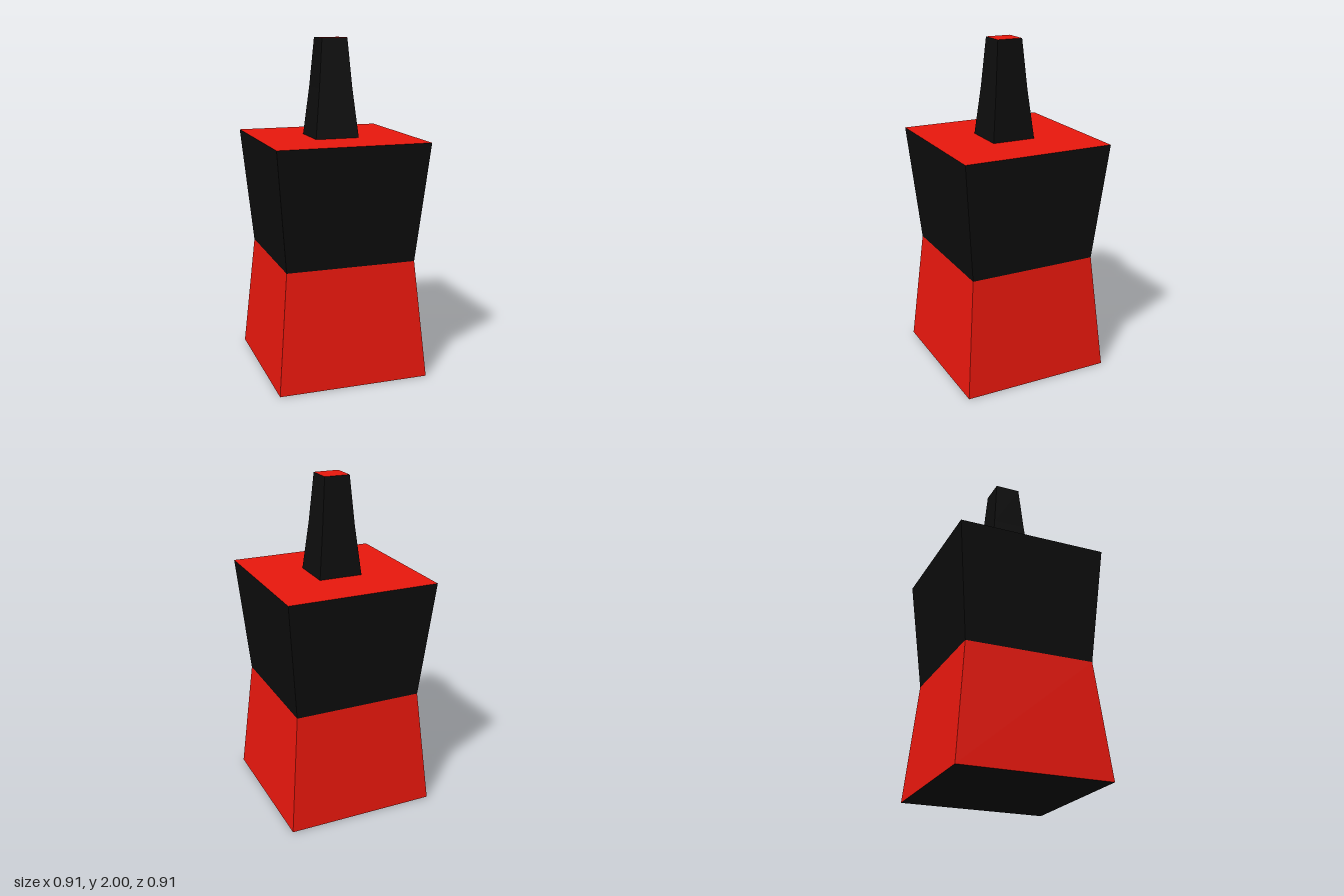
import * as THREE from 'three';

const paint = (color) => new THREE.MeshStandardMaterial({ color, flatShading: true });

export function createModel() {
  const model = new THREE.Group();
  const red = paint(0xe8170d);
  const black = paint(0x0d0d0d);

  // Square tapered block; half-widths at bottom and top
  function taper(name, y0, y1, half0, half1, side, top, bottom, parent = model) {
    const geo = new THREE.CylinderGeometry(
      half1 * Math.SQRT2, half0 * Math.SQRT2, y1 - y0, 4, 1, false, Math.PI / 4);
    const mesh = new THREE.Mesh(geo, [side, top, bottom]);
    mesh.name = name;
    mesh.position.y = (y0 + y1) / 2;
    parent.add(mesh);
  }

  // Body: red lower half narrowing to the waist, black upper half widening
  taper('lowerBody', 0, 0.71, 0.455, 0.39, red, black, black);
  taper('upperBody', 0.71, 1.42, 0.39, 0.455, black, red, black);

  // Post with a slight bend in its taper and a red tip
  const post = new THREE.Group();
  post.name = 'post';
  model.add(post);
  taper('lowerPost', 1.42, 1.71, 0.132, 0.101, black, black, black, post);
  taper('upperPost', 1.71, 2, 0.101, 0.077, black, red, black, post);

  return model;
}
